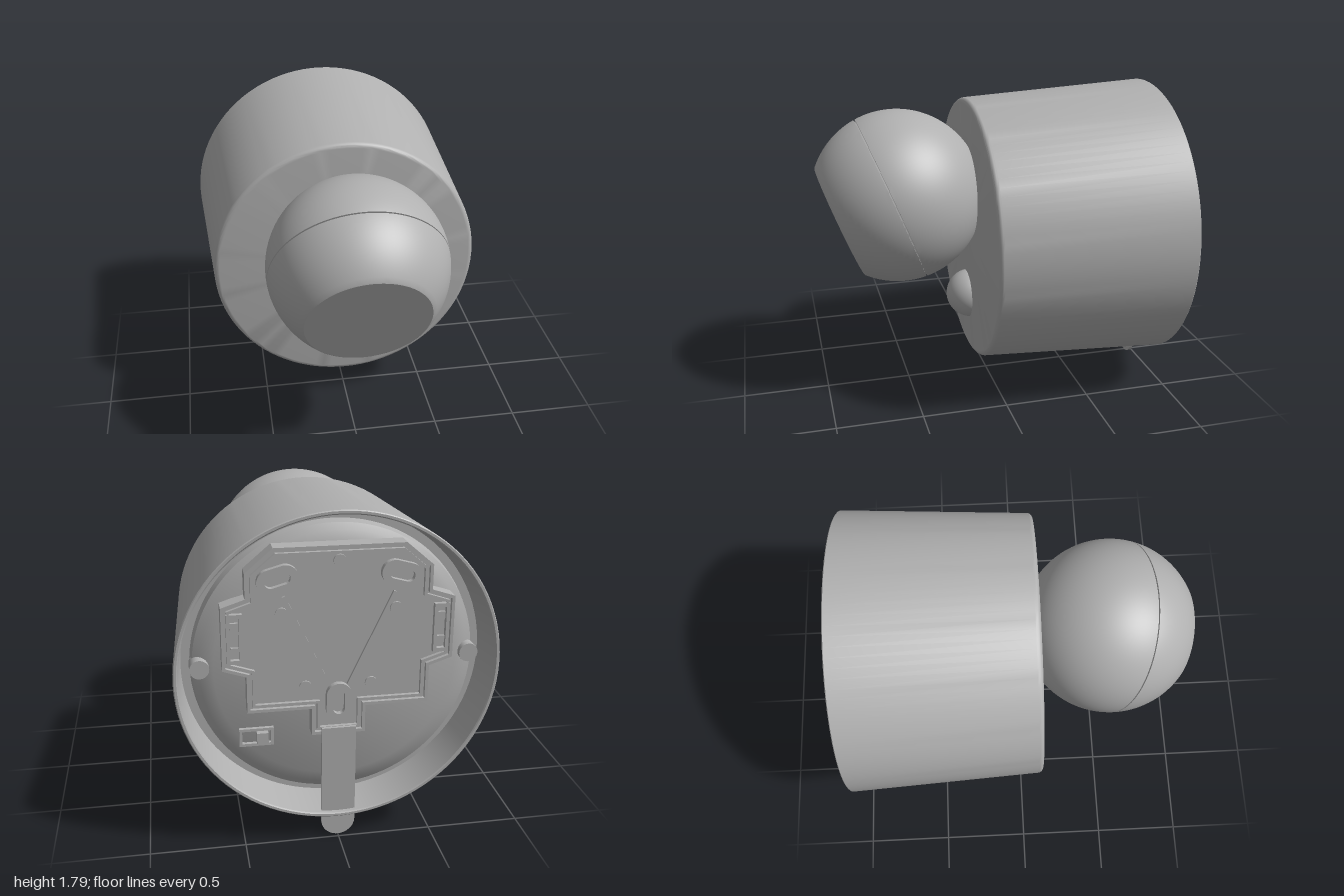
import * as THREE from 'three';
import { toCreasedNormals } from 'three/addons/utils/BufferGeometryUtils.js';

const grey = new THREE.MeshStandardMaterial({ color: 0xb0b0b0 });
grey.name = 'grey plastic';
const AXIS_Y = 0.957;
const V = (x, y) => new THREE.Vector2(x, y);

export function createModel() {
  const model = new THREE.Group();

  function add(name, geometry, x = 0, y = 0, z = 0) {
    const mesh = new THREE.Mesh(geometry, grey);
    mesh.name = name;
    mesh.position.set(x, y, z);
    model.add(mesh);
    return mesh;
  }
  const lathe = (points) => toCreasedNormals(new THREE.LatheGeometry(points, 96), 0.5);

  // flat part between two z values
  function slab(name, shape, z0, z1, x = 0, y = 0) {
    const geometry = new THREE.ExtrudeGeometry(shape, { depth: z1 - z0, bevelEnabled: false, curveSegments: 16 });
    return add(name, toCreasedNormals(geometry, 0.5), x, y, z0);
  }
  function box(name, x, y, w, h, z0, z1) {
    return add(name, new THREE.BoxGeometry(w, h, z1 - z0), x, y, (z0 + z1) / 2);
  }
  // upright stadium: half width r, half length of the straight part h
  function stadium(r, h, Type = THREE.Shape) {
    const s = new Type();
    s.absarc(0, h, r, 0, Math.PI);
    s.absarc(0, -h, r, Math.PI, Math.PI * 2);
    s.closePath();
    return s;
  }
  // counter-clockwise outline moved inwards by d
  function inset(points, d) {
    const n = points.length;
    return points.map((p, i) => {
      const a = p.clone().sub(points[(i + n - 1) % n]).normalize();
      const b = points[(i + 1) % n].clone().sub(p).normalize();
      const na = V(-a.y, a.x), nb = V(-b.y, b.x);
      const m = na.clone().add(nb);
      return p.clone().addScaledVector(m, d / (1 + na.dot(nb)));
    });
  }

  // tapered housing with recessed back and rounded front edge
  const profile = [V(0, -0.88), V(0.63, -0.88), V(0.70, -0.85), V(0.735, -0.83), V(0.745, -0.78),
    V(0.79, -0.78), V(0.812, -0.995), V(0.818, -1), V(0.83, -1), V(0.835, -0.995)];
  for (let i = 0; i <= 6; i++) {
    const t = (i / 6) * Math.PI / 2;
    profile.push(V(0.745 + 0.03 * Math.cos(t), 0.09 + 0.03 * Math.sin(t)));
  }
  profile.push(V(0, 0.12));
  add('housing', lathe(profile), 0, AXIS_Y).rotation.x = Math.PI / 2;

  // ball head, tilted down, with a seam groove and a flat front
  const R = 0.5, seam = Math.asin(0.045 / R), end = Math.asin(0.362 / R);
  const head = [];
  const arc = (a, b, n) => {
    for (let i = 0; i <= n; i++) {
      const t = a + (b - a) * i / n;
      head.push(V(Math.max(0, R * Math.cos(t)), R * Math.sin(t)));
    }
  };
  arc(-Math.PI / 2, seam - 0.008, 32);
  head.push(V(0.488, 0.042), V(0.488, 0.048));
  arc(seam + 0.008, end, 14);
  head.push(V(0.338, 0.366), V(0, 0.366));
  add('ballHead', lathe(head), 0, 1.19, 0.53).rotation.x = Math.PI / 2 + 0.375;

  // small sensor dome under the head
  add('sensorDome', new THREE.SphereGeometry(0.147, 48, 32), 0, 0.527, 0.098);

  // mounting plate with side ears and a raised border
  const half = [V(0.14, 0.6), V(0.14, 0.75), V(0.47, 0.75), V(0.47, 0.95), V(0.59, 0.99),
    V(0.59, 1.32), V(0.47, 1.36), V(0.47, 1.49), V(0.33, 1.61)];
  const outline = [...half, ...half.map((p) => V(-p.x, p.y)).reverse()];
  slab('mountingPlate', new THREE.Shape(outline), -0.94, -0.87);
  for (const [a, b] of [[0, 0.016], [0.028, 0.042]]) {
    const border = new THREE.Shape(inset(outline, a));
    border.holes.push(new THREE.Path(inset(outline, b)));
    slab('plateBorder', border, -0.96, -0.93);
  }

  // screw slots
  for (const [x, y, angle] of [[0.31, 1.45, 1.3], [-0.31, 1.45, -1.3], [0, 0.78, 0]]) {
    const ring = stadium(0.065, 0.04);
    ring.holes.push(stadium(0.03, 0.035, THREE.Path));
    slab('screwSlot', ring, -0.97, -0.93, x, y).rotation.z = angle;
  }

  for (const s of [1, -1]) {
    // V-shaped ribs
    const dx = 0.23, dy = 0.49;
    box('plateRib', s * 0.165, 1.115, 0.016, Math.hypot(dx, dy), -0.955, -0.93)
      .rotation.z = -s * Math.atan2(dx, dy);
    // latch frames on the ears
    const latch = new THREE.Shape([V(-0.04, -0.13), V(0.04, -0.13), V(0.04, 0.13), V(-0.04, 0.13)]);
    latch.holes.push(new THREE.Path([V(-0.022, -0.11), V(0.022, -0.11), V(0.022, 0.11), V(-0.022, 0.11)]));
    slab('latchFrame', latch, -0.965, -0.93, s * 0.525, 1.155);
    for (const y of [1.09, 1.22]) box('latchTooth', s * 0.525, y, 0.04, 0.035, -0.955, -0.93);
    // snap posts beside the recess wall
    add('snapPost', new THREE.CylinderGeometry(0.05, 0.05, 0.1, 24), s * 0.7, 0.98, -0.85).rotation.x = Math.PI / 2;
  }

  // round pads on the plate
  for (const [x, y] of [[0, 1.53], [0.29, 1.27], [-0.29, 1.27], [0.17, 0.87], [-0.17, 0.87]]) {
    add('platePad', new THREE.CylinderGeometry(0.032, 0.032, 0.02, 24), x, y, -0.94).rotation.x = Math.PI / 2;
  }

  // slide switch on the recess floor
  const frame = new THREE.Shape([V(-0.09, -0.05), V(0.09, -0.05), V(0.09, 0.05), V(-0.09, 0.05)]);
  frame.holes.push(new THREE.Path([V(-0.075, -0.035), V(0.075, -0.035), V(0.075, 0.035), V(-0.075, 0.035)]));
  slab('switchFrame', frame, -0.9, -0.87, 0.42, 0.58);
  box('switchKnob', 0.39, 0.58, 0.06, 0.06, -0.92, -0.87);

  // pull tab hanging below the rim
  const tab = new THREE.Shape();
  tab.moveTo(0.09, 0.64);
  tab.lineTo(-0.09, 0.64);
  tab.lineTo(-0.09, 0.09);
  tab.absarc(0, 0.09, 0.09, Math.PI, Math.PI * 2);
  tab.closePath();
  slab('pullTab', tab, -0.977, -0.957);

  return model;
}
